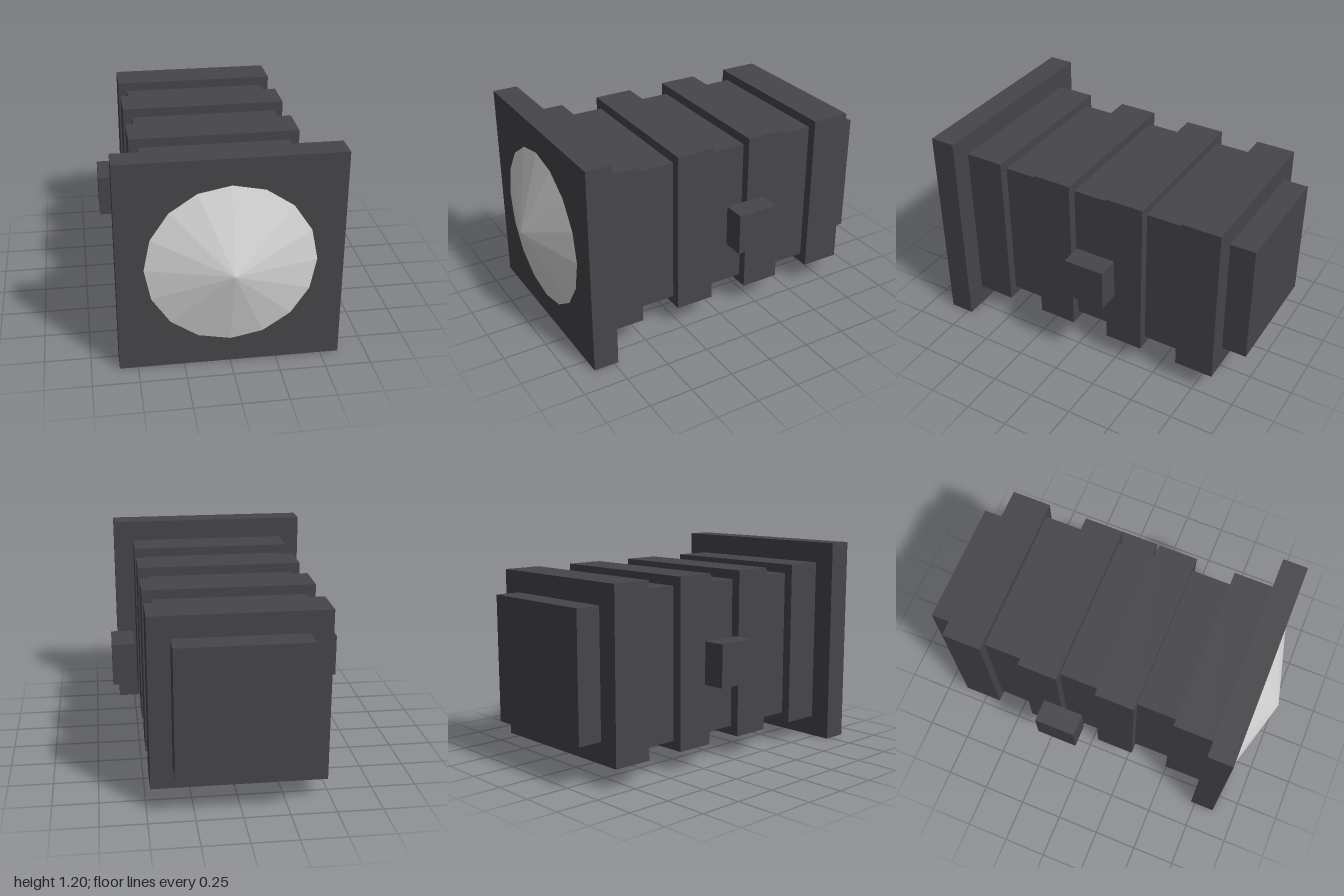
import * as THREE from 'three';

export function createModel() {
  const model = new THREE.Group();
  model.name = 'lamp';
  const casing = new THREE.MeshStandardMaterial({ color: 0x464549 });
  casing.name = 'dark casing';
  const glass = new THREE.MeshStandardMaterial({ color: 0xdadada, flatShading: true });
  glass.name = 'pale lens';
  const midY = 0.6;

  // Square block centred on the long axis, from zBack to zFront
  function block(name, size, zBack, zFront) {
    const mesh = new THREE.Mesh(new THREE.BoxGeometry(size, size, zFront - zBack), casing);
    mesh.name = name;
    mesh.position.set(0, midY, (zBack + zFront) / 2);
    model.add(mesh);
  }

  block('frontPlate', 1.198, 0.725, 0.868);
  block('core', 0.85, -0.8, 0.73);
  block('backCap', 0.714, -1, -0.85);

  // Four evenly spaced ribs around the core
  for (let i = 0; i < 4; i++) {
    const zFront = 0.726 - i * 0.452;
    block('rib' + (i + 1), 0.955, zFront - 0.226, zFront);
  }

  // Mounting knobs standing clear of both sides
  for (const side of [-1, 1]) {
    const knob = new THREE.Mesh(new THREE.BoxGeometry(0.128, 0.24, 0.237), casing);
    knob.name = side > 0 ? 'leftKnob' : 'rightKnob';
    knob.position.set(side * 0.581, midY, -0.138);
    model.add(knob);
  }

  // Faceted cone lens pointing forward
  const lensGeometry = new THREE.ConeGeometry(0.455, 0.127, 16);
  lensGeometry.rotateX(Math.PI / 2);
  const lens = new THREE.Mesh(lensGeometry, glass);
  lens.name = 'lens';
  lens.position.set(0, midY, 0.9365);
  model.add(lens);

  return model;
}
